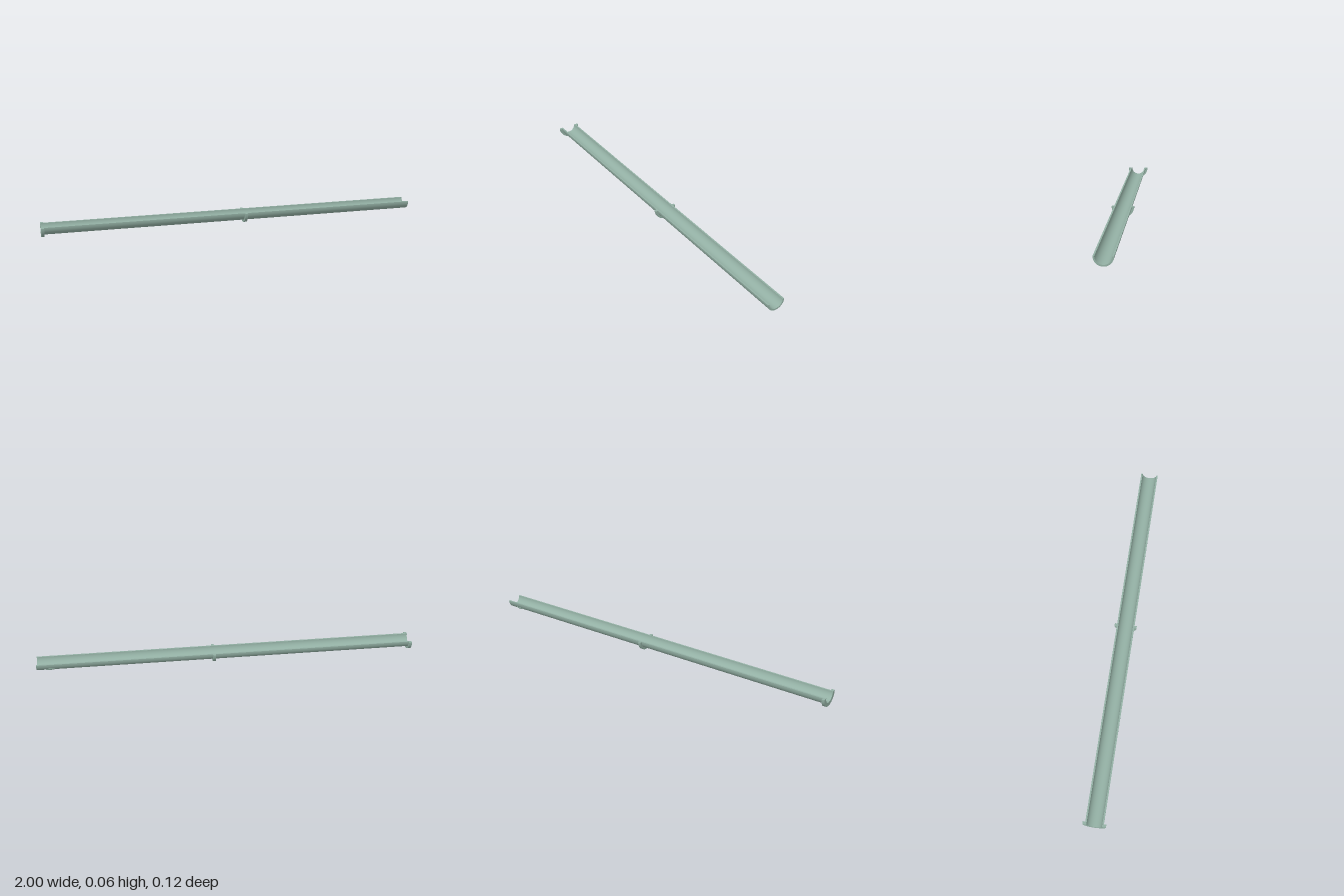
import * as THREE from 'three';

const AXIS_Y = 0.06;
const material = new THREE.MeshStandardMaterial({ color: 0x93b0a4 });

// Half ring (open upward) extruded along x from x0 to x1
function halfPipe(name, inner, outer, x0, x1) {
  const shape = new THREE.Shape();
  shape.absarc(0, 0, outer, Math.PI, Math.PI * 2, false);
  shape.lineTo(inner, 0);
  shape.absarc(0, 0, inner, Math.PI * 2, Math.PI, true);
  shape.closePath();
  const geometry = new THREE.ExtrudeGeometry(shape, {
    depth: x1 - x0, bevelEnabled: false, curveSegments: 32,
  });
  geometry.rotateY(Math.PI / 2);

  // Smooth radial normals on the curved walls, flat ones on ends and rims
  const pos = geometry.attributes.position;
  const nor = geometry.attributes.normal;
  for (let i = 0; i < pos.count; i++) {
    if (Math.abs(nor.getX(i)) > 0.5 || nor.getY(i) > 0.999) continue;
    const y = pos.getY(i), z = pos.getZ(i), r = Math.hypot(y, z);
    const sign = r > (inner + outer) / 2 ? 1 : -1;
    nor.setXYZ(i, 0, sign * y / r, sign * z / r);
  }

  const mesh = new THREE.Mesh(geometry, material);
  mesh.name = name;
  mesh.position.set(x0, AXIS_Y, 0);
  return mesh;
}

export function createModel() {
  const group = new THREE.Group();
  group.name = 'halfRoundGutter';

  // Long open channel
  group.add(halfPipe('channel', 0.039, 0.047, -1, 1));

  // Collars at the end and near the middle
  group.add(halfPipe('endCollar', 0.0465, 0.0595, -1, -0.985));
  group.add(halfPipe('middleCollar', 0.0465, 0.0595, 0.063, 0.078));

  // Small oval stud low on the back, near the plain end
  const stud = new THREE.Mesh(new THREE.SphereGeometry(1, 20, 12), material);
  stud.name = 'stud';
  const angle = Math.PI / 4;
  stud.scale.set(0.025, 0.004, 0.008);
  stud.rotation.x = angle;
  stud.position.set(0.93, AXIS_Y - 0.047 * Math.sin(angle), -0.047 * Math.cos(angle));
  group.add(stud);

  return group;
}
